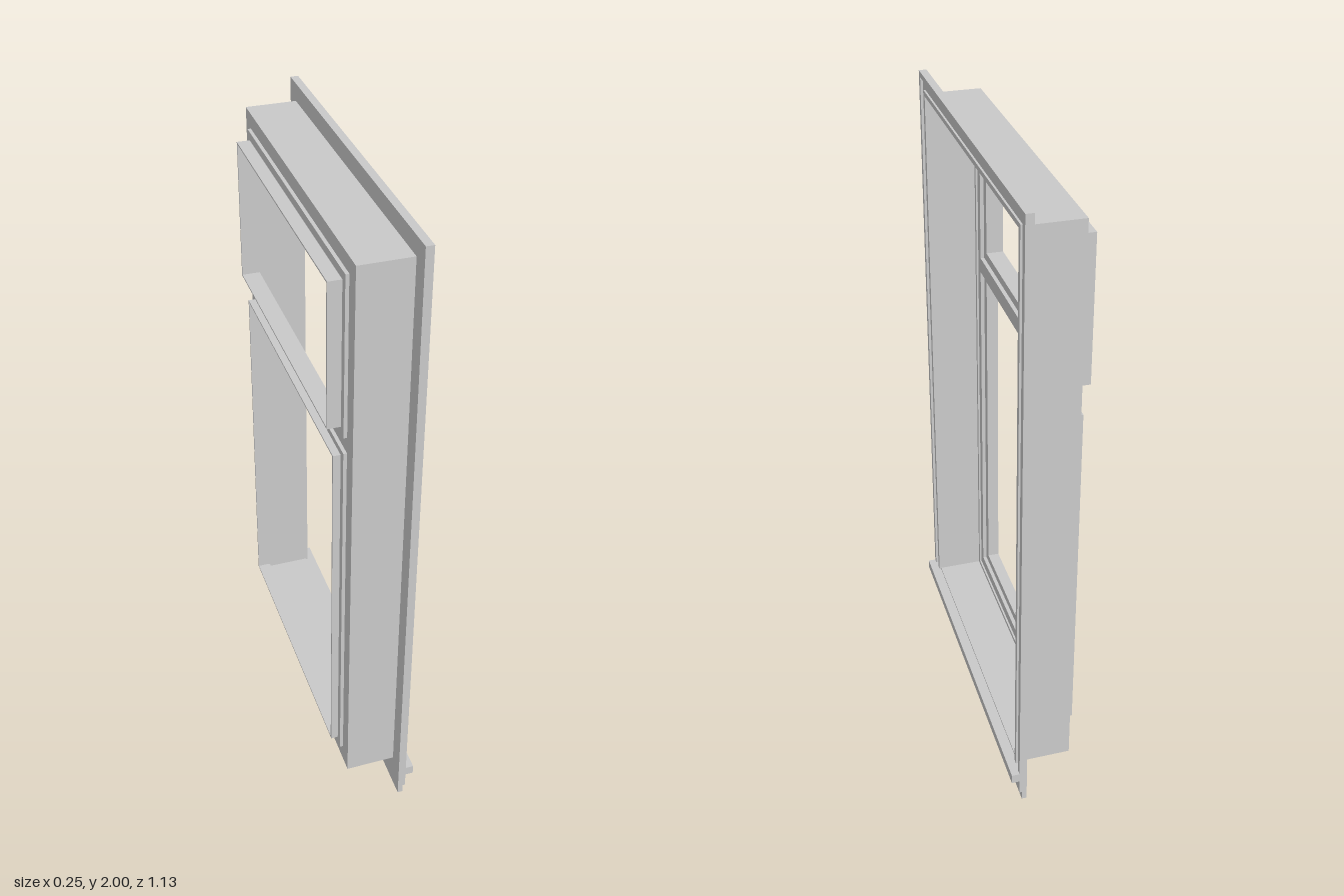
import * as THREE from 'three';

const material = new THREE.MeshStandardMaterial({ color: 0xcccccc, flatShading: true });

// Rectangular ring in the y-z plane, extruded along x.
// outer and inner are [half width, bottom, top].
function ring(name, outer, inner, x0, x1) {
  const trace = (path, [w, b, t]) => {
    path.moveTo(-w, b);
    path.lineTo(w, b);
    path.lineTo(w, t);
    path.lineTo(-w, t);
    path.closePath();
    return path;
  };
  const shape = trace(new THREE.Shape(), outer);
  shape.holes.push(trace(new THREE.Path(), inner));
  const geo = new THREE.ExtrudeGeometry(shape, { depth: x1 - x0, bevelEnabled: false });
  geo.rotateY(Math.PI / 2);
  geo.translate(x0, 0, 0);
  const mesh = new THREE.Mesh(geo, material);
  mesh.name = name;
  return mesh;
}

// Horizontal bar running across the window
function bar(name, x0, x1, y0, y1, halfWidth) {
  const mesh = new THREE.Mesh(new THREE.BoxGeometry(x1 - x0, y1 - y0, halfWidth * 2), material);
  mesh.name = name;
  mesh.position.set((x0 + x1) / 2, (y0 + y1) / 2, 0);
  return mesh;
}

// Upside-down U of trim (two legs and a head), extruded along x
function arch(name, outerW, top, innerW, innerTop, bottom, x0, x1) {
  const shape = new THREE.Shape([
    [-outerW, bottom], [-innerW, bottom], [-innerW, innerTop], [innerW, innerTop],
    [innerW, bottom], [outerW, bottom], [outerW, top], [-outerW, top],
  ].map(([z, y]) => new THREE.Vector2(z, y)));
  const geo = new THREE.ExtrudeGeometry(shape, { depth: x1 - x0, bevelEnabled: false });
  geo.rotateY(Math.PI / 2);
  geo.translate(x0, 0, 0);
  const mesh = new THREE.Mesh(geo, material);
  mesh.name = name;
  return mesh;
}

// Sash: flat border plus a thin lip projecting out the back
function sash(name, outer, open, xBack) {
  const g = new THREE.Group();
  g.name = name;
  const [w, b, t] = open;
  const lip = [w + 0.006, b - 0.005, t + 0.005];
  g.add(ring('sashBorder', outer, open, -0.09, -0.074));
  g.add(ring('sashLip', lip, open, xBack, -0.09));
  return g;
}

export function createModel() {
  const model = new THREE.Group();
  model.name = 'window';

  // Deep jamb box lining the wall opening
  model.add(ring('jamb', [0.51, 0.11, 1.945], [0.503, 0.117, 1.938], -0.08, 0.092));

  // Front casing with raised outer and inner beads
  const casing = new THREE.Group();
  casing.name = 'casing';
  casing.add(arch('casingBoard', 0.565, 2, 0.503, 1.938, 0.1, 0.076, 0.092));
  casing.add(arch('outerBead', 0.565, 2, 0.548, 1.983, 0.1, 0.092, 0.1));
  casing.add(arch('innerBead', 0.518, 1.953, 0.503, 1.938, 0.1, 0.092, 0.098));
  model.add(casing);

  // Projecting sill and the apron under it
  const sill = new THREE.Group();
  sill.name = 'sill';
  sill.add(bar('sillNose', 0.076, 0.125, 0.08, 0.112, 0.565));
  sill.add(bar('apron', 0.076, 0.1, 0.03, 0.08, 0.565));
  sill.add(bar('apronFoot', 0.076, 0.092, 0, 0.03, 0.565));
  model.add(sill);

  // Fixed window frame at the back of the jamb, divided by a transom
  const frame = new THREE.Group();
  frame.name = 'frame';
  frame.add(ring('frameBorder', [0.503, 0.117, 1.938], [0.462, 0.165, 1.898], -0.08, -0.062));
  frame.add(ring('frameBead', [0.503, 0.117, 1.938], [0.49, 0.13, 1.925], -0.062, -0.056));
  frame.add(bar('transom', -0.08, -0.062, 1.347, 1.397, 0.462));
  model.add(frame);

  // Upper and lower sashes, open in the middle
  model.add(sash('upperSash', [0.461, 1.398, 1.897], [0.432, 1.426, 1.866], -0.13));
  model.add(sash('lowerSash', [0.461, 0.166, 1.346], [0.432, 0.194, 1.322], -0.112));

  return model;
}
